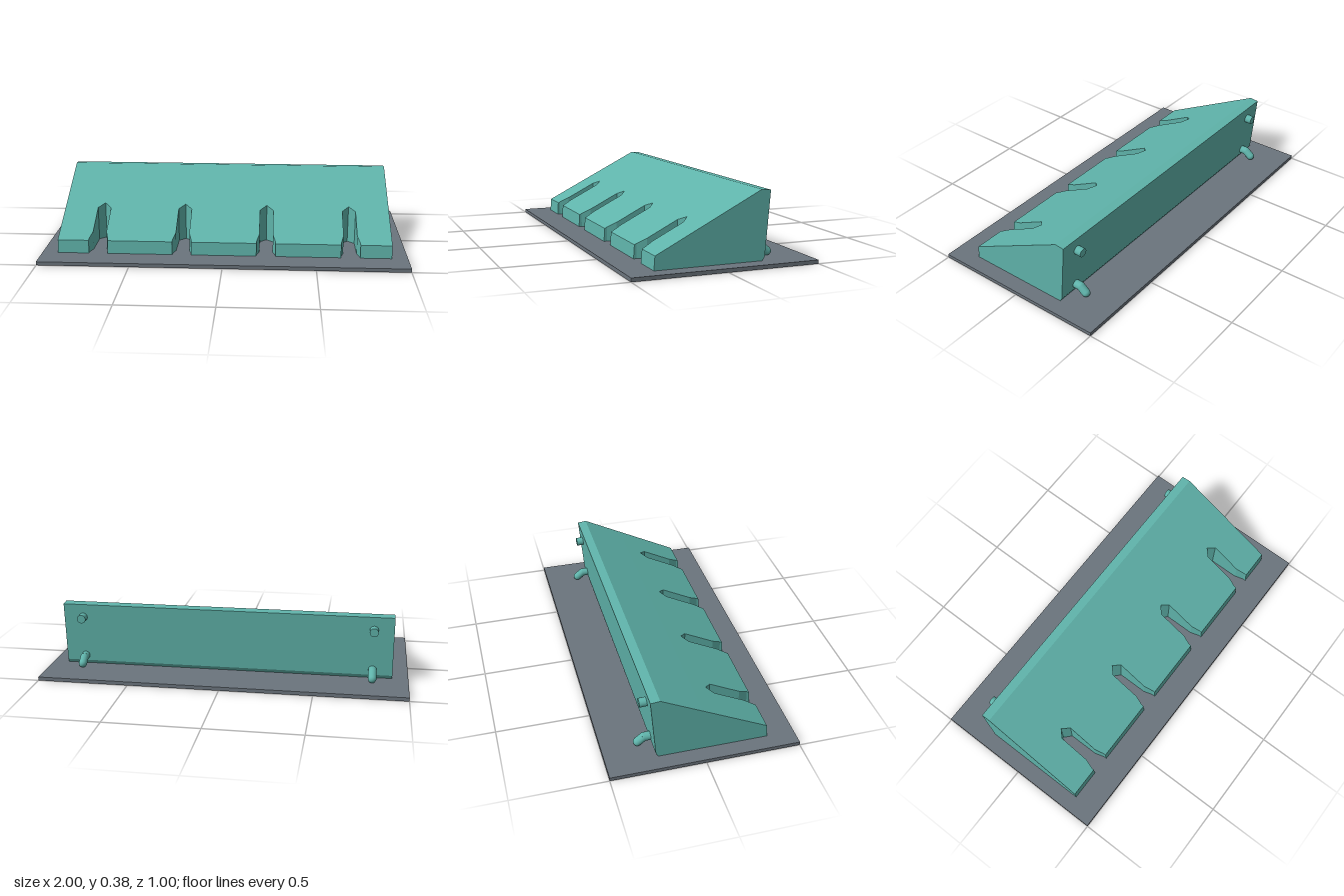
import * as THREE from 'three';

const HALF = 0.913;      // half width of the wedge
const FLOOR = 0.02;      // top of the base plate
const FRONT = 0.352;     // foot of the front face
const SEAM = 0.0;        // where slotted front meets plain rear
const LEAN = 0.005;      // backward lean of the front face
const slopeY = (z) => 0.092 + (0.347 - z) * 0.508;

const teal = new THREE.MeshStandardMaterial({ color: 0x5fb3aa });
const tealFlat = new THREE.MeshStandardMaterial({ color: 0x5fb3aa, flatShading: true });
const slate = new THREE.MeshStandardMaterial({ color: 0x6b747d, flatShading: true });

function add(parent, name, geometry, material) {
  const mesh = new THREE.Mesh(geometry, material);
  mesh.name = name;
  parent.add(mesh);
  return mesh;
}

// Front of the wedge: comb-shaped plan, its top raised to the slope
function slottedFront() {
  const plan = [[-HALF, FRONT]];
  for (const x of [-0.69, -0.23, 0.23, 0.69]) {
    const side = [[0.052, FRONT], [0.052, 0.335], [0.037, 0.285], [0.037, 0.118]];
    side.forEach(([w, z]) => plan.push([x - w, z]));
    plan.push([x, 0.083]);
    side.reverse().forEach(([w, z]) => plan.push([x + w, z]));
  }
  plan.push([HALF, FRONT], [HALF, SEAM], [-HALF, SEAM]);
  const shape = new THREE.Shape(plan.map(([x, z]) => new THREE.Vector2(x, -z)));
  const geo = new THREE.ExtrudeGeometry(shape, { depth: 1, bevelEnabled: false });
  geo.rotateX(-Math.PI / 2);
  const p = geo.attributes.position;
  for (let i = 0; i < p.count; i++) {
    let z = p.getZ(i);
    if (p.getY(i) > 0.5) {
      if (z > FRONT - 0.001) z -= LEAN;
      p.setXYZ(i, p.getX(i), slopeY(z), z);
    } else p.setY(i, FLOOR);
  }
  geo.computeVertexNormals();
  return geo;
}

// Rear of the wedge: side profile swept across the width
function rearBody() {
  const profile = [[SEAM, FLOOR], [SEAM, slopeY(SEAM)], [-0.22, 0.38],
    [-0.27, 0.375], [-0.242, 0.04], [-0.23, FLOOR]];
  const shape = new THREE.Shape(profile.map(([z, y]) => new THREE.Vector2(-z, y)));
  const geo = new THREE.ExtrudeGeometry(shape, { depth: 2 * HALF, bevelEnabled: false });
  return geo.translate(0, 0, -HALF).rotateY(Math.PI / 2);
}

// Round rod between two points
function rod(parent, name, a, b, radius) {
  const dir = b.clone().sub(a);
  const mesh = add(parent, name, new THREE.CylinderGeometry(radius, radius, dir.length(), 24), teal);
  mesh.position.copy(a).add(b).multiplyScalar(0.5);
  mesh.quaternion.setFromUnitVectors(new THREE.Vector3(0, 1, 0), dir.normalize());
}

export function createModel() {
  const model = new THREE.Group();
  model.name = 'slottedWedge';

  const base = add(model, 'basePlate', new THREE.BoxGeometry(2, FLOOR, 1), slate);
  base.position.y = FLOOR / 2;

  const wedge = new THREE.Group();
  wedge.name = 'wedge';
  model.add(wedge);
  add(wedge, 'slottedFront', slottedFront(), tealFlat);
  add(wedge, 'rearBody', rearBody(), tealFlat);

  // Straight upper pegs and bent lower hooks on the back
  for (const s of [1, -1]) {
    const side = s > 0 ? 'left' : 'right';
    const at = (y, z) => new THREE.Vector3(s * 0.805, y, z);
    rod(model, side + 'UpperPeg', at(0.302, -0.25), at(0.299, -0.303), 0.024);

    const hook = new THREE.Group();
    hook.name = side + 'LowerHook';
    model.add(hook);
    const root = at(0.071, -0.23), elbow = at(0.069, -0.278), tip = at(0.043, -0.311);
    rod(hook, 'hookShank', root, elbow, 0.023);
    rod(hook, 'hookEnd', elbow, tip, 0.023);
    for (const [name, pos] of [['hookElbow', elbow], ['hookTip', tip]]) {
      add(hook, name, new THREE.SphereGeometry(0.023, 24, 16), teal).position.copy(pos);
    }
  }
  return model;
}
